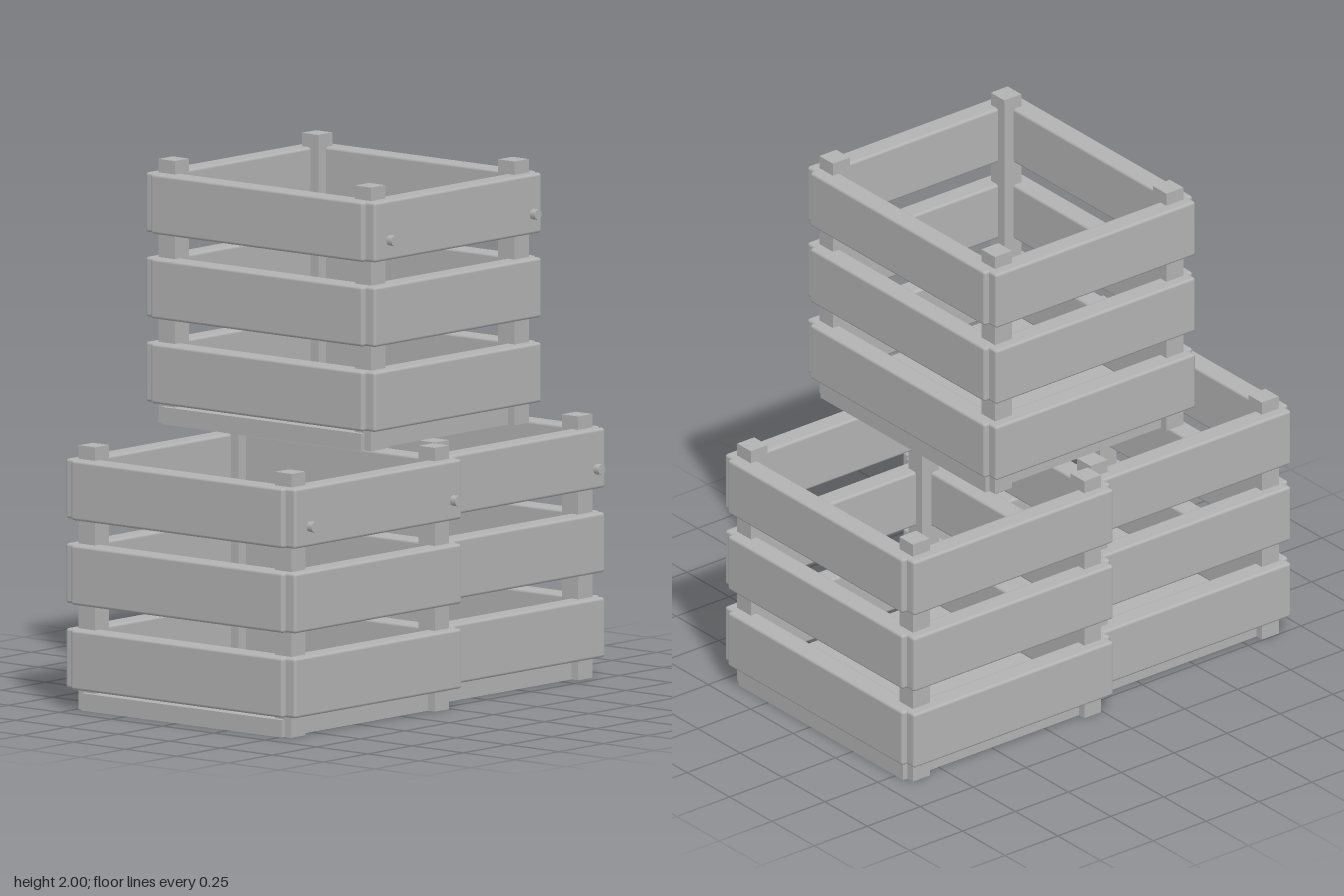
import * as THREE from 'three';
import { RoundedBoxGeometry } from 'three/addons/geometries/RoundedBoxGeometry.js';

const grey = new THREE.MeshStandardMaterial({ color: 0xb2b2b2 });
grey.name = 'grey';

const POST_X = 0.405, POST_Z = 0.478, POST = 0.08, HEIGHT = 0.985;
const SLAT_H = 0.224, SLAT_T = 0.084, EDGE = 0.011;

const postGeo = new THREE.BoxGeometry(POST, HEIGHT, POST);
const baseGeo = new THREE.BoxGeometry(0.93, 0.065, 0.972);
const longSlatGeo = new RoundedBoxGeometry(SLAT_T, SLAT_H, 1.032, 2, EDGE);
const shortSlatGeo = new RoundedBoxGeometry(0.944, SLAT_H, SLAT_T, 2, EDGE);
const boltGeo = new THREE.CylinderGeometry(0.02, 0.02, 0.025, 8).rotateX(Math.PI / 2);

function add(group, name, geometry, x, y, z) {
  const mesh = new THREE.Mesh(geometry, grey);
  mesh.name = name;
  mesh.position.set(x, y, z);
  group.add(mesh);
}

function createCrate(name, x, y, z) {
  const crate = new THREE.Group();
  crate.name = name;
  crate.position.set(x, y, z);

  add(crate, 'basePanel', baseGeo, 0, 0.0325, 0);

  // Corner posts, with a bolt head in front of each front post
  for (const sx of [-1, 1]) {
    for (const sz of [-1, 1]) {
      add(crate, 'cornerPost', postGeo, sx * POST_X, HEIGHT / 2, sz * POST_Z);
    }
    add(crate, 'boltHead', boltGeo, sx * POST_X, 0.79, 0.586);
  }

  // Three rows of slats around the four sides
  for (const h of [0.19, 0.507, 0.823]) {
    for (const s of [-1, 1]) {
      add(crate, 'sideSlat', longSlatGeo, s * 0.451, h, 0);
      add(crate, s > 0 ? 'frontSlat' : 'backSlat', shortSlatGeo, 0, h, s * 0.517);
    }
  }
  return crate;
}

export function createModel() {
  const model = new THREE.Group();
  model.name = 'crateStack';
  model.add(
    createCrate('lowerRightCrate', -0.453, 0, 0.022),
    createCrate('lowerLeftCrate', 0.451, 0, -0.059),
    createCrate('topCrate', -0.002, 1.015, 0.022),
  );
  return model;
}
